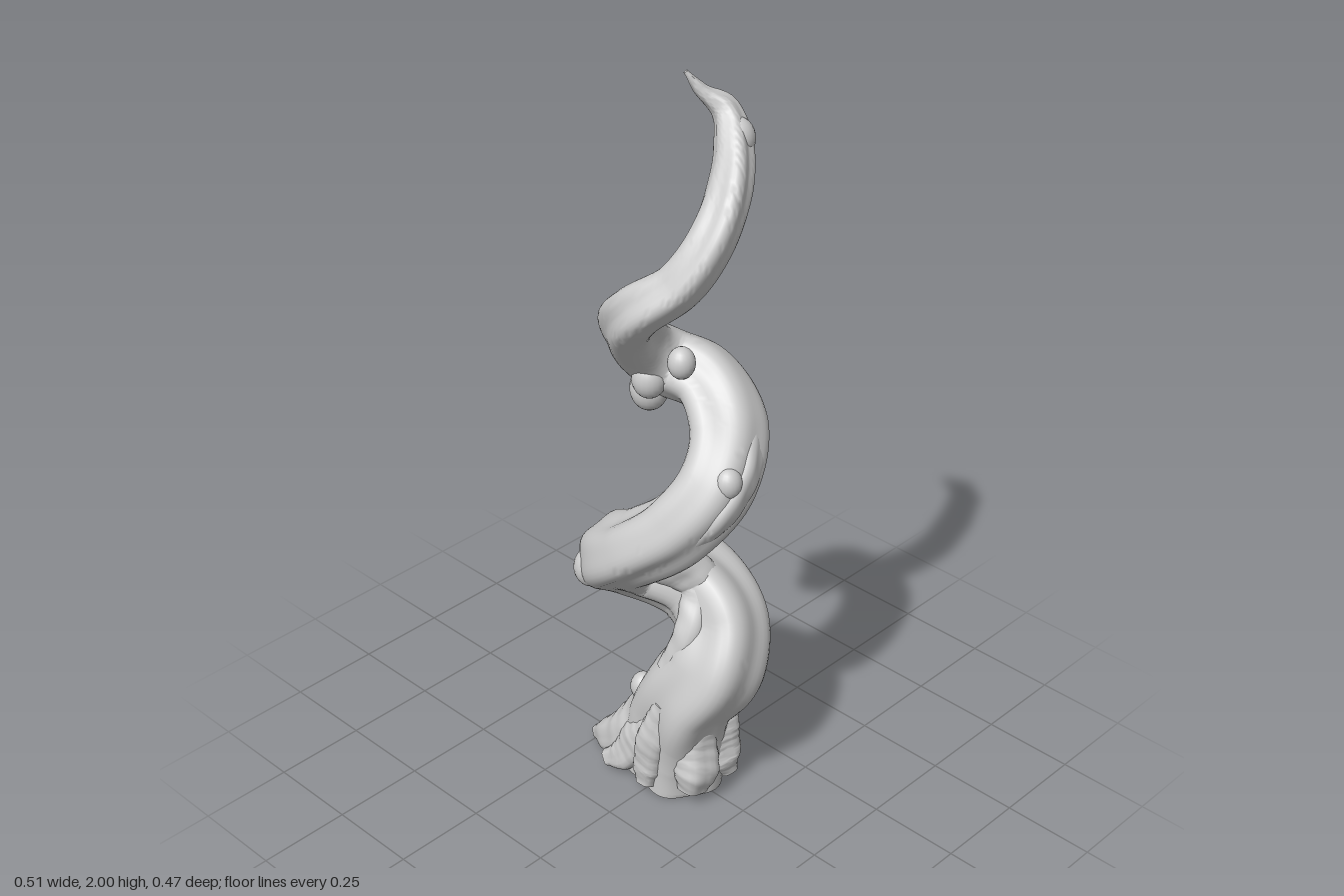
import * as THREE from 'three';
import { toCreasedNormals } from 'three/addons/utils/BufferGeometryUtils.js';

const material = new THREE.MeshStandardMaterial({ color: 0xcccccc });

// Sweeps a fluted cross-section along a path; each stop is [x, y, z, radius].
function limb(name, stops, rings, sides, flute, twist) {
  const curve = new THREE.CatmullRomCurve3(stops.map(([x, y, z]) => new THREE.Vector3(x, y, z)));
  curve.arcLengthDivisions = 600;
  const { normals, binormals } = curve.computeFrenetFrames(rings);
  const radiusAt = (t) => {
    const f = t * (stops.length - 1);
    const i = Math.min(Math.floor(f), stops.length - 2);
    return THREE.MathUtils.lerp(stops[i][3], stops[i + 1][3], THREE.MathUtils.smoothstep(f - i, 0, 1) * 0.5 + (f - i) * 0.5);
  };
  const positions = [], indices = [];
  const p = new THREE.Vector3();
  const push = (v) => positions.push(v.x, Math.max(0, v.y), v.z);

  for (let i = 0; i <= rings; i++) {
    const u = i / rings;
    const centre = curve.getPointAt(u);
    const radius = radiusAt(curve.getUtoTmapping(u));
    for (let j = 0; j < sides; j++) {
      const a = (j / sides) * Math.PI * 2;
      // Uneven strands that wind slowly around the limb, with gentle swellings
      const strands = 0.55 * Math.cos(3 * a + twist * u) + 0.5 * Math.cos(5 * a - 0.6 * twist * u + 1);
      const swelling = 0.35 * Math.sin(17 * u + 2 * a) * Math.sin(31 * u + a);
      const r = radius * (1 + flute * (strands + swelling));
      p.copy(centre)
        .addScaledVector(normals[i], r * Math.cos(a))
        .addScaledVector(binormals[i], r * Math.sin(a));
      push(p);
      if (i < rings) {
        const k = (j + 1) % sides, row = i * sides, next = row + sides;
        indices.push(row + j, row + k, next + j, row + k, next + k, next + j);
      }
    }
  }
  // Close both ends
  const first = positions.length / 3, last = rings * sides;
  push(curve.getPointAt(0));
  push(curve.getPointAt(1));
  for (let j = 0; j < sides; j++) {
    const k = (j + 1) % sides;
    indices.push(first, k, j, first + 1, last + j, last + k);
  }
  const geometry = new THREE.BufferGeometry();
  geometry.setAttribute('position', new THREE.Float32BufferAttribute(positions, 3));
  geometry.setIndex(indices);
  const mesh = new THREE.Mesh(toCreasedNormals(geometry, 0.9), material);
  mesh.name = name;
  return mesh;
}

export function createModel() {
  const group = new THREE.Group();
  group.name = 'twistedTrunk';

  // Lower trunk, coiling upward from the roots
  const lower = [
    [0.0, 0.0, -0.01, 0.13], [0.01, 0.1, -0.01, 0.135], [0.03, 0.2, 0.0, 0.13],
    [0.07, 0.3, 0.01, 0.125], [0.13, 0.41, -0.02, 0.125], [0.1, 0.51, -0.07, 0.12],
    [0.0, 0.59, -0.07, 0.115], [-0.12, 0.64, 0.01, 0.11], [-0.1, 0.71, 0.11, 0.1],
    [0.0, 0.79, 0.145, 0.09], [0.1, 0.88, 0.1, 0.09], [0.15, 0.99, 0.02, 0.095],
    [0.11, 1.1, -0.06, 0.095], [0.02, 1.19, -0.08, 0.085],
  ];
  // Upper trunk, thinning into a hooked tip
  const upper = [
    [-0.07, 1.22, -0.045, 0.085], [-0.09, 1.28, 0.02, 0.075], [-0.055, 1.38, 0.1, 0.07],
    [0.025, 1.47, 0.145, 0.063], [0.11, 1.55, 0.1, 0.058], [0.15, 1.65, 0.04, 0.056],
    [0.14, 1.75, -0.03, 0.053], [0.1, 1.84, -0.085, 0.045], [0.055, 1.905, -0.105, 0.033],
    [0.015, 1.95, -0.07, 0.016], [-0.01, 1.998, -0.042, 0.005],
  ];
  group.add(limb('trunk', [...lower, ...upper], 280, 48, 0.13, 9));

  // Roots spreading from the foot, listed from tip to trunk
  const roots = {
    rightRoot: [[-0.25, 0.02, 0.05, 0.02], [-0.19, 0.045, 0.05, 0.05], [-0.1, 0.11, 0.04, 0.075], [-0.02, 0.24, 0.02, 0.07], [0.05, 0.36, 0.02, 0.05]],
    backRoot: [[-0.05, 0.03, -0.2, 0.035], [-0.04, 0.075, -0.165, 0.072], [-0.01, 0.16, -0.1, 0.075], [0.04, 0.28, -0.06, 0.065], [0.1, 0.38, -0.05, 0.05]],
    leftRoot: [[0.12, 0.04, 0.06, 0.04], [0.12, 0.1, 0.05, 0.06], [0.1, 0.2, 0.04, 0.06], [0.1, 0.32, 0.04, 0.05]],
    frontRoot: [[0.0, 0.02, 0.11, 0.03], [0.0, 0.07, 0.095, 0.05], [0.02, 0.18, 0.09, 0.055], [0.06, 0.3, 0.07, 0.05]],
    frontRightRoot: [[-0.15, 0.02, 0.11, 0.025], [-0.1, 0.05, 0.09, 0.045], [-0.05, 0.13, 0.07, 0.06], [0.02, 0.24, 0.06, 0.05]],
    backLeftRoot: [[0.13, 0.03, -0.07, 0.03], [0.11, 0.08, -0.06, 0.06], [0.08, 0.2, -0.05, 0.07]],
  };
  for (const [name, stops] of Object.entries(roots)) group.add(limb(name, stops, 40, 24, 0.1, 3));

  // Strands lying along the coils
  const strands = {
    lowerStrand: [[0.04, 0.4, 0.07, 0.03], [0.08, 0.52, 0.02, 0.05], [0.05, 0.64, -0.03, 0.055], [0.0, 0.72, 0.06, 0.055], [0.05, 0.8, 0.09, 0.04]],
    middleStrand: [[0.13, 0.84, 0.12, 0.03], [0.2, 0.95, 0.05, 0.045], [0.19, 1.05, -0.04, 0.05], [0.1, 1.14, -0.11, 0.045], [0.0, 1.23, -0.1, 0.04]],
  };
  for (const [name, stops] of Object.entries(strands)) group.add(limb(name, stops, 60, 24, 0.1, 4));

  // Burls: [x, y, z, radius]
  const burls = [
    [-0.06, 1.21, 0.03, 0.045], [0.02, 1.27, 0.0, 0.035], [-0.1, 1.15, -0.01, 0.05],
    [0.215, 1.03, 0.04, 0.035], [-0.2, 0.6, 0.04, 0.05], [-0.14, 0.68, 0.165, 0.045],
    [-0.1, 0.24, 0.02, 0.035], [0.1, 1.85, -0.1, 0.042],
  ];
  for (const [x, y, z, r] of burls) {
    const burl = new THREE.Mesh(new THREE.SphereGeometry(r, 20, 14), material);
    burl.name = 'burl';
    burl.position.set(x, y, z);
    burl.scale.y = 1.2;
    group.add(burl);
  }
  return group;
}
